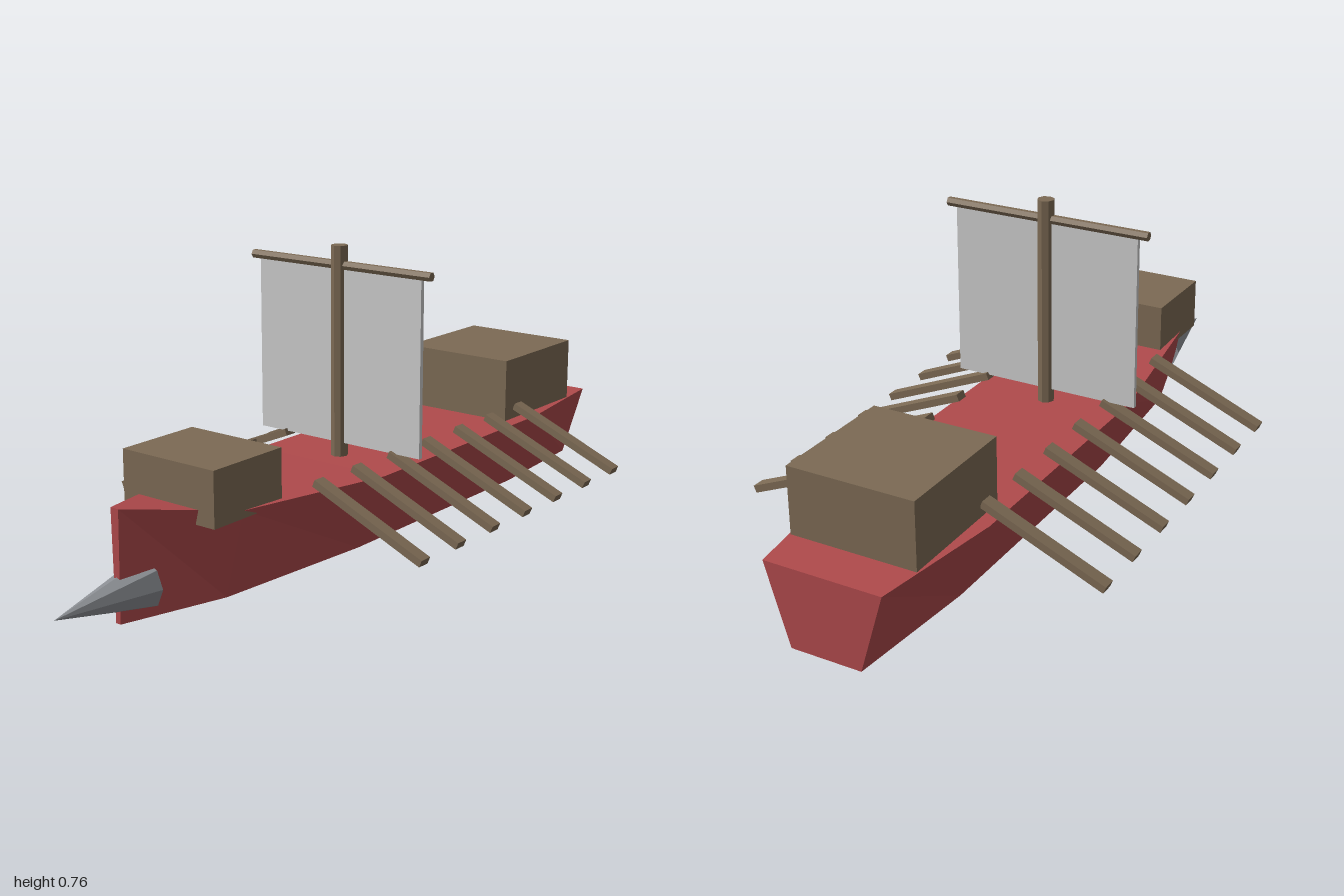
import * as THREE from 'three';

const material = (color) => new THREE.MeshStandardMaterial({ color, flatShading: true });

// Hull skin lofted through four-cornered stations [z, deck half width, deck height]
function hullGeometry(stations, keelRatio) {
  const rings = stations.map(([z, w, h]) => [
    [-w * keelRatio, 0, z], [w * keelRatio, 0, z], [w, h, z], [-w, h, z],
  ]);
  const pos = [];
  const quad = (a, b, c, d) => pos.push(...a, ...b, ...c, ...a, ...c, ...d);
  for (let s = 0; s < rings.length - 1; s++) {
    const A = rings[s], B = rings[s + 1];
    for (let i = 0; i < 4; i++) {
      const j = (i + 1) % 4;
      quad(A[i], A[j], B[j], B[i]);
    }
  }
  const stern = rings[0], bow = rings[rings.length - 1];
  quad(stern[3], stern[2], stern[1], stern[0]);
  quad(bow[0], bow[1], bow[2], bow[3]);
  const g = new THREE.BufferGeometry();
  g.setAttribute('position', new THREE.Float32BufferAttribute(pos, 3));
  g.computeVertexNormals();
  return g;
}

export function createModel() {
  const model = new THREE.Group();
  model.name = 'galley';
  const red = material(0xb04a4c);
  const wood = material(0x7c6a54);
  const metal = material(0x8a8d92);
  const cloth = material(0xcccccc);

  const add = (name, geometry, mat, x, y, z, parent = model) => {
    const mesh = new THREE.Mesh(geometry, mat);
    mesh.name = name;
    mesh.position.set(x, y, z);
    parent.add(mesh);
    return mesh;
  };

  // Hull with a rising, pointed bow
  add('hull', hullGeometry([
    [-1, 0.155, 0.207],
    [-0.64, 0.205, 0.207],
    [0.08, 0.205, 0.207],
    [0.54, 0.143, 0.227],
    [0.81, 0.012, 0.275],
  ], 0.6), red, 0, 0, 0);

  // Ram on the bow
  add('ram', new THREE.ConeGeometry(0.06, 0.275, 8).rotateX(Math.PI / 2), metal, 0, 0.07, 0.8625);

  // Fighting platforms
  add('foreCastle', new THREE.BoxGeometry(0.286, 0.139, 0.236), wood, 0, 0.2775, 0.522);
  add('sternCastle', new THREE.BoxGeometry(0.334, 0.174, 0.342), wood, 0, 0.293, -0.712);

  // Mast, yard and sail
  add('mast', new THREE.CylinderGeometry(0.022, 0.022, 0.555, 8), wood, 0, 0.4825, 0);
  add('yard', new THREE.CylinderGeometry(0.012, 0.012, 0.57, 6).rotateZ(Math.PI / 2), wood, 0, 0.709, 0);
  add('sail', new THREE.BoxGeometry(0.516, 0.457, 0.012), cloth, 0, 0.4715, 0);

  // Seven oars on each side, sloping down and outward
  const oars = new THREE.Group();
  oars.name = 'oars';
  model.add(oars);
  const oarGeometry = new THREE.BoxGeometry(0.342, 0.019, 0.034);
  for (const side of [1, -1]) {
    for (let i = 0; i < 7; i++) {
      const oar = add(side > 0 ? 'leftOar' : 'rightOar', oarGeometry, wood,
        side * 0.326, 0.175, 0.3 - i * 0.15, oars);
      oar.rotation.z = -side * 0.398;
    }
  }
  return model;
}
